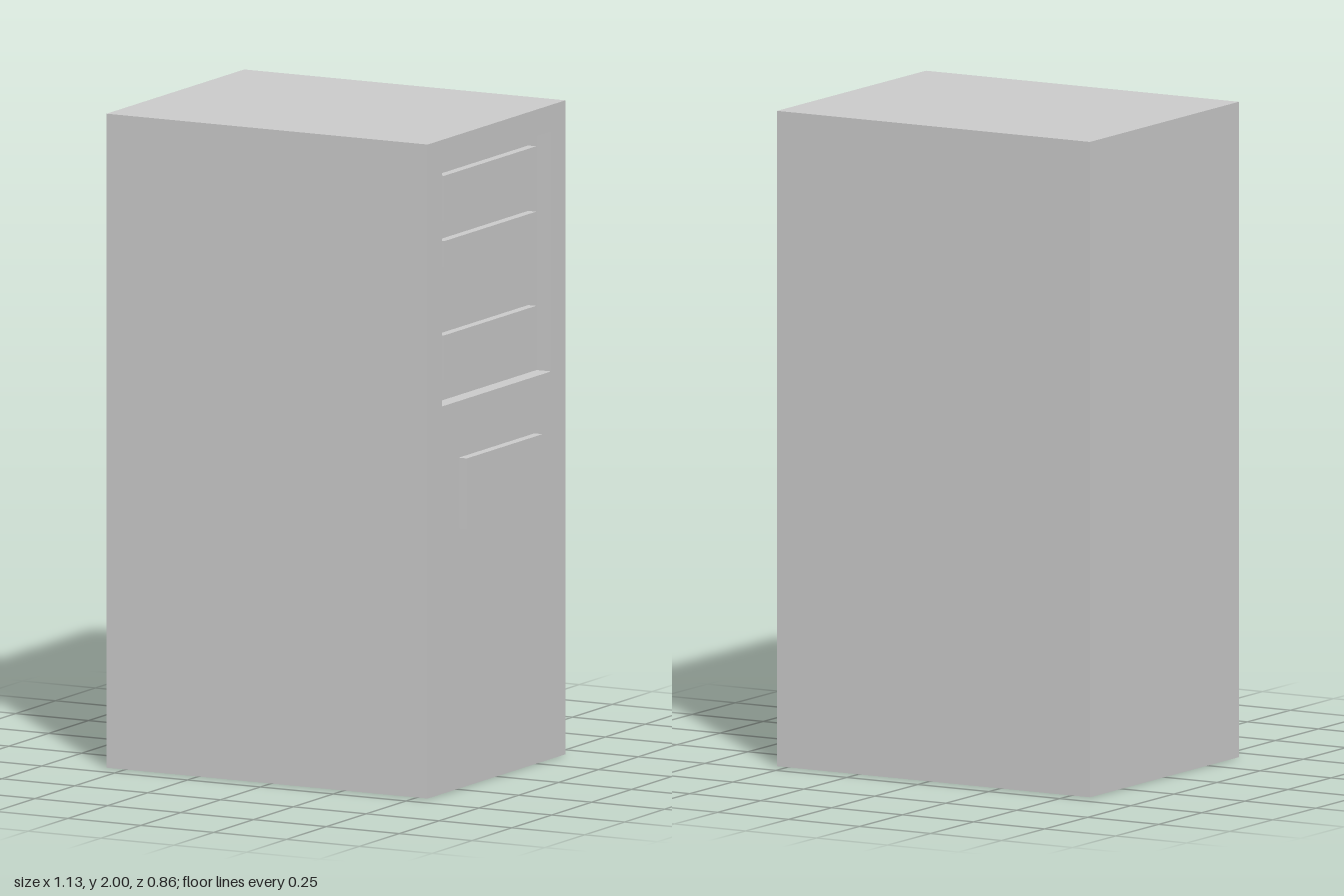
import * as THREE from 'three';
import { mergeGeometries } from 'three/addons/utils/BufferGeometryUtils.js';

const BACK = -0.565, FACE = 0.537, FLOOR = 0.487; // x of rear wall, panelled face and recess floor
const THICK = 0.028; // thickness of the raised panels
const BODY = { y0: 0, y1: 2, w: 0.864 };
const RECESS = { y0: 1.185, y1: 1.92, w: 0.685 };

// Box without its +x side; inward = true turns it inside out to line a recess
function openBox(x0, x1, { y0, y1, w }, inward = false) {
  const g = new THREE.BoxGeometry(x1 - x0, y1 - y0, w);
  g.translate((x0 + x1) / 2, (y0 + y1) / 2, 0);
  const index = Array.from(g.index.array).slice(6);
  g.setIndex(inward ? index.reverse() : index);
  if (inward) {
    const n = g.attributes.normal;
    for (let i = 0; i < n.count; i++) n.setXYZ(i, -n.getX(i), -n.getY(i), -n.getZ(i));
  }
  return g;
}

function outline(path, { y0, y1, w }) {
  path.moveTo(-w / 2, y0);
  path.lineTo(w / 2, y0);
  path.lineTo(w / 2, y1);
  path.lineTo(-w / 2, y1);
  path.closePath();
  return path;
}

export function createModel() {
  const group = new THREE.Group();
  const material = new THREE.MeshStandardMaterial({ color: 0xcccccc });
  const add = (name, geometry) => {
    const mesh = new THREE.Mesh(geometry, material);
    mesh.name = name;
    group.add(mesh);
  };

  // Cabinet shell: outer walls, face with a rectangular opening, recess lining
  const face = outline(new THREE.Shape(), BODY);
  face.holes.push(outline(new THREE.Path(), RECESS));
  const faceGeometry = new THREE.ShapeGeometry(face).rotateY(Math.PI / 2).translate(FACE, 0, 0);
  add('cabinet', mergeGeometries([
    openBox(BACK, FACE, BODY),
    faceGeometry,
    openBox(FLOOR, FACE, RECESS, true),
  ]));

  // Raised panels: three on the recess floor, one on the cabinet face
  const panels = [
    ['upperDrivePanel', FLOOR, 1.74, 1.88, 0.578],
    ['slimDrivePanel', FLOOR, 1.6, 1.68, 0.578],
    ['lowerDrivePanel', FLOOR, 1.255, 1.392, 0.578],
    ['badgePlate', FACE, 0.795, 1.012, 0.475],
  ];
  for (const [name, x, y0, y1, w] of panels) {
    const g = new THREE.BoxGeometry(THICK, y1 - y0, w);
    add(name, g.translate(x + THICK / 2, (y0 + y1) / 2, 0));
  }
  return group;
}
